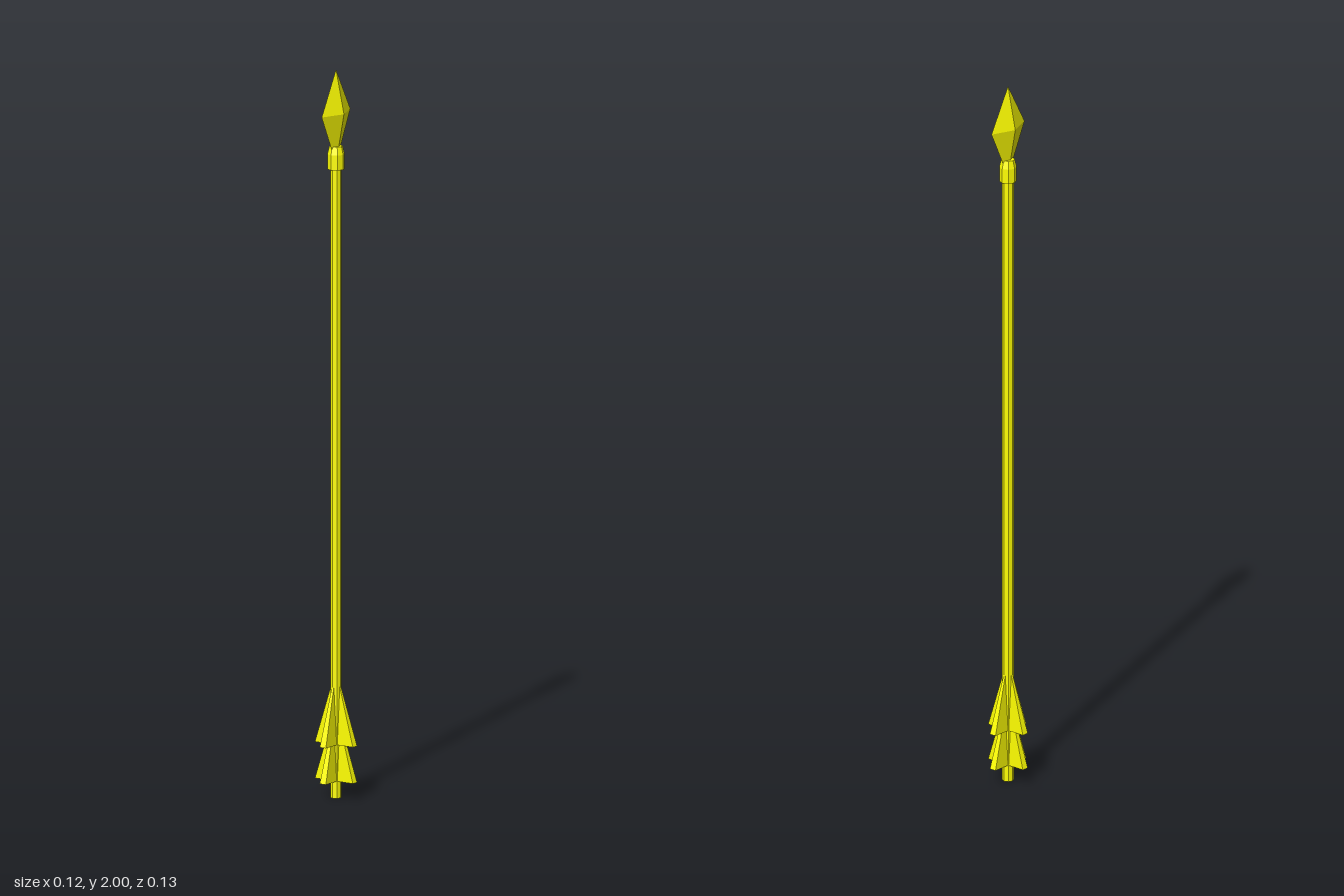
import * as THREE from 'three';

const yellow = new THREE.MeshStandardMaterial({ color: 0xffff00, flatShading: true });

function addMesh(parent, geometry, name) {
  const mesh = new THREE.Mesh(geometry, yellow);
  mesh.name = name;
  parent.add(mesh);
  return mesh;
}

// Faceted solid of revolution from [radius, height] pairs, with a corner at +z
function turned(points, sides) {
  return new THREE.LatheGeometry(points.map(([r, y]) => new THREE.Vector2(r, y)), sides);
}

// Vane pointing along +x: a box whose top is squeezed thin against the shaft
function vaneGeometry(bottom, top) {
  const geometry = new THREE.BoxGeometry(1, 1, 1);
  const p = geometry.attributes.position;
  for (let i = 0; i < p.count; i++) {
    const isTop = p.getY(i) > 0;
    const isOuter = p.getX(i) > 0;
    const reach = isTop ? 0.0145 : 0.062;
    const halfThickness = isTop ? 0.003 : 0.01;
    p.setXYZ(i, isOuter ? reach : 0, isTop ? top : bottom, Math.sign(p.getZ(i)) * halfThickness);
  }
  geometry.computeVertexNormals();
  return geometry;
}

export function createModel() {
  const arrow = new THREE.Group();
  arrow.name = 'arrow';

  // Octagonal shaft
  addMesh(arrow, turned([[0, 0], [0.0155, 0], [0.0155, 1.76], [0, 1.76]], 8), 'shaft');

  // Octagonal collar that holds the head
  addMesh(arrow, turned([[0, 1.727], [0.0235, 1.727], [0.0235, 1.768], [0.018, 1.79], [0, 1.79]], 8), 'collar');

  // Four-sided diamond head, broad along z
  const head = turned([[0, 1.74], [1, 1.88], [0, 2]], 4);
  head.scale(0.026, 1, 0.067);
  addMesh(arrow, head, 'head');

  // Two tiers of four vanes
  const fletching = new THREE.Group();
  fletching.name = 'fletching';
  arrow.add(fletching);
  for (const [bottom, top] of [[0.147, 0.305], [0.047, 0.205]]) {
    const vane = vaneGeometry(bottom, top);
    for (let i = 0; i < 4; i++) {
      addMesh(fletching, vane, 'vane').rotation.y = i * Math.PI / 2;
    }
  }
  return arrow;
}
